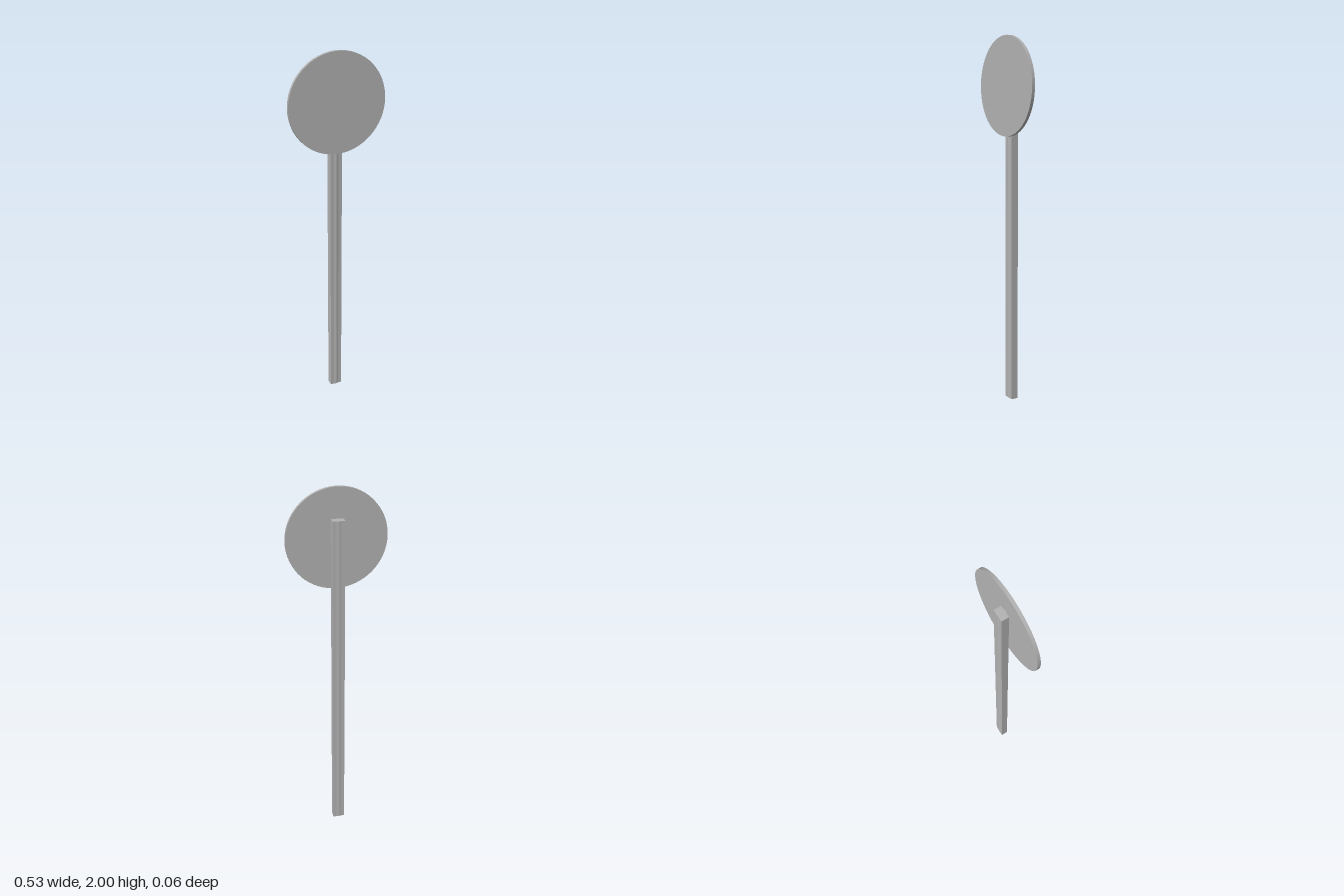
import * as THREE from 'three';

export function createModel() {
  const model = new THREE.Group();
  const grey = new THREE.MeshStandardMaterial({ color: 0xb3b3b3 });
  grey.name = 'plain grey';

  // Post: flat bar with a shallow ridge along its front and back
  const half = [[0, -0.014], [0.013, -0.0105], [0.033, -0.0105],
    [0.033, 0.029], [0.013, 0.029], [0, 0.031]];
  const mirrored = half.slice(1, -1).reverse().map(([x, y]) => [-x, y]);
  const section = new THREE.Shape(
    [...half, ...mirrored].map(([x, y]) => new THREE.Vector2(x, y)));
  const postGeometry = new THREE.ExtrudeGeometry(section, { depth: 1.84, bevelEnabled: false });
  postGeometry.rotateX(-Math.PI / 2);
  const post = new THREE.Mesh(postGeometry, grey);
  post.name = 'post';
  model.add(post);

  // Round sign plate fixed to the front of the post
  const radius = 0.264;
  const plateGeometry = new THREE.CylinderGeometry(radius, radius, 0.017, 64);
  plateGeometry.rotateX(Math.PI / 2);
  const plate = new THREE.Mesh(plateGeometry, grey);
  plate.name = 'signPlate';
  plate.position.set(0, 2 - radius, 0.0225);
  model.add(plate);

  return model;
}
